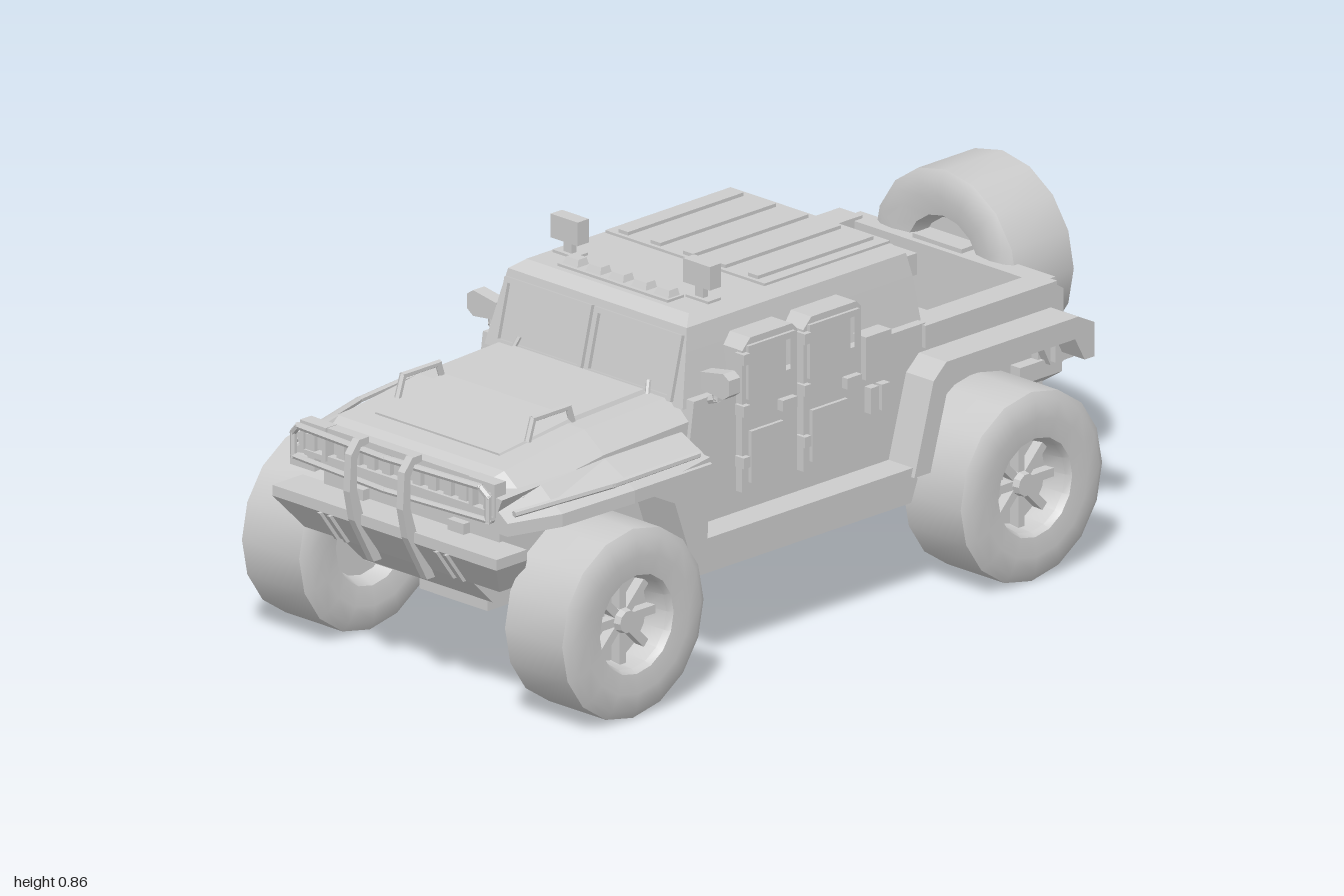
import * as THREE from 'three';
import { toCreasedNormals } from 'three/addons/utils/BufferGeometryUtils.js';

export function createModel() {
  const root = new THREE.Group();
  const flat = new THREE.MeshStandardMaterial({ color: 0xcccccc, flatShading: true });
  const smooth = new THREE.MeshStandardMaterial({ color: 0xcccccc });

  const add = (name, geo, parent = root, mat = flat) => {
    const m = new THREE.Mesh(geo, mat);
    m.name = name;
    parent.add(m);
    return m;
  };
  // Box from its limits
  const box = (name, x0, x1, y0, y1, z0, z1) => {
    const m = add(name, new THREE.BoxGeometry(Math.abs(x1 - x0), y1 - y0, Math.abs(z1 - z0)));
    m.position.set((x0 + x1) / 2, (y0 + y1) / 2, (z0 + z1) / 2);
    return m;
  };
  const boxes = (name, x0, x1, ...r) => [1, -1].forEach((s) => box(name, s * x0, s * x1, ...r));
  // Side outline of [z, y] points extruded from x0 to x1, with an optional hole
  const slab = (name, pts, x0, x1, hole) => {
    const v = (a) => a.map((p) => new THREE.Vector2(...p));
    const shape = new THREE.Shape(v(pts));
    if (hole) shape.holes.push(new THREE.Path(v(hole)));
    const g = new THREE.ExtrudeGeometry(shape, { depth: Math.abs(x1 - x0), bevelEnabled: false });
    g.rotateY(-Math.PI / 2).translate(Math.max(x0, x1), 0, 0);
    return add(name, g);
  };
  const slabs = (name, pts, x0, x1, hole) => [1, -1].forEach((s) => slab(name, pts, s * x0, s * x1, hole));
  const rect = (z0, z1, y0, y1) => [[z0, y0], [z1, y0], [z1, y1], [z0, y1]];
  // Solid through equal rings of [x, y, z], capped, turned outward by its signed volume
  const loft = (name, rings) => {
    const P = rings.map((r) => r.map((p) => new THREE.Vector3(...p)));
    const n = P[0].length, last = P.length - 1, tris = [];
    for (let i = 0; i < last; i++) for (let j = 0; j < n; j++) {
      const k = (j + 1) % n;
      tris.push([P[i][j], P[i][k], P[i + 1][k]], [P[i][j], P[i + 1][k], P[i + 1][j]]);
    }
    for (let j = 1; j < n - 1; j++) tris.push([P[0][0], P[0][j + 1], P[0][j]], [P[last][0], P[last][j], P[last][j + 1]]);
    const o = P[0][0];
    const vol = tris.reduce((s, [a, b, c]) => s + a.clone().sub(o).dot(b.clone().sub(o).cross(c.clone().sub(o))), 0);
    if (vol < 0) tris.forEach((t) => t.reverse());
    const g = new THREE.BufferGeometry().setFromPoints(tris.flat());
    g.computeVertexNormals();
    return add(name, g);
  };
  // Stack of level rectangles: [y, half width, back z, front z]
  const stack = (name, rows) => loft(name, rows.map(([y, w, b, f]) => [[-w, y, b], [w, y, b], [w, y, f], [-w, y, f]]));
  // Round bars along a list of points
  const bars = (name, pts, r) => {
    for (let i = 1; i < pts.length; i++) {
      const a = new THREE.Vector3(...pts[i - 1]), d = new THREE.Vector3(...pts[i]).sub(a);
      const m = add(name, new THREE.CylinderGeometry(r, r, d.length() + r, 6));
      m.position.copy(a).addScaledVector(d, 0.5);
      m.quaternion.setFromUnitVectors(new THREE.Vector3(0, 1, 0), d.normalize());
    }
  };

  // Wheels: lathed tyre with a recessed, spoked rim facing local +x
  const tyre = [[0, -0.06], [0.1, -0.06], [0.115, -0.097], [0.16, -0.105], [0.2, -0.1], [0.22, -0.088], [0.22, 0.088],
    [0.2, 0.1], [0.16, 0.105], [0.115, 0.1], [0.107, 0.085], [0.1, 0.03], [0, 0.03]].map((p) => new THREE.Vector2(...p));
  const tyreGeo = toCreasedNormals(new THREE.LatheGeometry(tyre, 16).rotateZ(-Math.PI / 2), 0.5);
  const wheel = (name, x, y, z, turn) => {
    const g = new THREE.Group();
    g.name = name;
    add('tyre', tyreGeo, g, smooth);
    add('hub', new THREE.CylinderGeometry(0.026, 0.034, 0.05, 10).rotateZ(-Math.PI / 2).translate(0.05, 0, 0), g);
    for (let i = 0; i < 8; i++) {
      const s = add('spoke', new THREE.BoxGeometry(0.025, 0.08, 0.02).translate(0.045, 0.062, 0), g);
      s.rotation.x = (i * Math.PI) / 4;
    }
    g.position.set(x, y, z);
    g.rotation.y = turn;
    root.add(g);
  };
  for (const s of [1, -1]) {
    wheel('frontWheel', s * 0.405, 0.22, 0.69, s > 0 ? 0 : Math.PI);
    wheel('rearWheel', s * 0.405, 0.22, -0.55, s > 0 ? 0 : Math.PI);
  }
  wheel('spareWheel', -0.025, 0.54, -0.895, Math.PI / 2);

  // Chassis, rails, axles and links
  slab('chassis', [[0.88, 0.47], [0.88, 0.36], [0.8, 0.28], [-0.7, 0.28], [-0.8, 0.35], [-0.8, 0.42]], -0.27, 0.27);
  boxes('frameRail', 0.14, 0.18, 0.24, 0.29, -0.74, 0.82);
  for (const z of [0.69, -0.55]) {
    bars('axle', [[-0.35, 0.22, z], [0.35, 0.22, z]], 0.025);
    box('differential', -0.105, 0.105, 0.165, 0.28, z - 0.06, z + 0.06);
    boxes('suspensionArm', 0.2, 0.3, 0.175, 0.27, z - 0.035, z + 0.035);
    for (const s of [1, -1]) bars('link', [[s * 0.16, 0.195, z - 0.21 * Math.sign(z)], [s * 0.16, 0.235, 0]], 0.015);
  }

  // Cabin: lower tub, sills and tapered upper shell
  slab('cabinTub', [[0.4, 0.28], [0.35, 0.46], [0.33, 0.6], [-0.39, 0.6], [-0.36, 0.5], [-0.29, 0.28]], -0.325, 0.325);
  slabs('sill', [[0.41, 0.28], [0.39, 0.23], [-0.27, 0.23], [-0.29, 0.28], [-0.28, 0.31], [0.4, 0.31]], 0.28, 0.4);
  stack('cabinShell', [[0.58, 0.305, -0.4, 0.345], [0.7, 0.285, -0.39, 0.315], [0.752, 0.275, -0.38, 0.302], [0.772, 0.25, -0.36, 0.27]]);
  box('roofPanel', -0.245, 0.245, 0.765, 0.778, -0.36, 0.03);
  for (const x of [-0.2, -0.1, 0, 0.1, 0.2]) box('roofRib', x - 0.015, x + 0.015, 0.775, 0.786, -0.34, 0.02);

  // Windscreen frames and panes
  const frame = (name, w, h, t, b) => {
    const r = (k, hw, hh) => { k.moveTo(-hw, -hh); k.lineTo(hw, -hh); k.lineTo(hw, hh); k.lineTo(-hw, hh); k.closePath(); return k; };
    const s = r(new THREE.Shape(), w / 2, h / 2);
    s.holes.push(r(new THREE.Path(), w / 2 - b, h / 2 - b));
    return add(name, new THREE.ExtrudeGeometry(s, { depth: t, bevelEnabled: false }));
  };
  for (const s of [1, -1]) {
    const f = frame('windscreenFrame', 0.268, 0.15, 0.012, 0.012);
    f.position.set(s * 0.139, 0.662, 0.322);
    f.rotation.x = -0.245;
    bars('wiper', [[s * 0.21, 0.585, 0.36], [s * 0.2, 0.62, 0.345]], 0.006);
  }
  const rearFrame = frame('rearWindowFrame', 0.36, 0.14, 0.015, 0.02);
  rearFrame.position.set(0, 0.66, -0.388);
  rearFrame.rotation.y = Math.PI;
  box('rearWindow', -0.13, 0.13, 0.62, 0.7, -0.4, -0.38);
  boxes('cargoLamp', 0.2, 0.27, 0.69, 0.74, -0.42, -0.36);

  // Doors with recessed glass, handles, hinges and side vents
  for (const [a, b] of [[0.2, 0.03], [0.01, -0.17]]) {
    const out = [[a, 0.36], [b, 0.36], [b, 0.7], [b + 0.015, 0.715], [a - 0.025, 0.715], [a, 0.69]];
    slabs('door', out, 0.28, 0.345, rect(a - 0.02, b + 0.02, 0.585, 0.69));
    boxes('doorGlass', 0.28, 0.327, 0.58, 0.695, b + 0.015, a - 0.015);
    slabs('doorTrim', rect(a - 0.012, b + 0.012, 0.575, 0.7), 0.34, 0.353, rect(a - 0.025, b + 0.025, 0.59, 0.685));
    boxes('doorPanel', 0.34, 0.354, 0.38, 0.5, b + 0.05, a - 0.02);
    boxes('doorHandle', 0.34, 0.362, 0.525, 0.55, b + 0.015, b + 0.06);
    for (const y of [0.42, 0.54, 0.66]) boxes('hinge', 0.33, 0.358, y, y + 0.025, a - 0.012, a + 0.008);
  }
  for (const z of [-0.2, -0.235]) boxes('sideVent', 0.31, 0.345, 0.44, 0.5, z - 0.025, z);
  boxes('sideLocker', 0.28, 0.34, 0.52, 0.62, -0.27, -0.19);

  // Hood and its handles
  const hoodRing = ([z, w, t]) => [[-w, 0.44, z], [w, 0.44, z], [w, t - 0.045, z], [w - 0.06, t, z], [0.06 - w, t, z], [-w, t - 0.045, z]];
  loft('hood', [[0.33, 0.315, 0.598], [0.6, 0.315, 0.588], [0.85, 0.315, 0.555], [0.9, 0.3, 0.535]].map(hoodRing));
  loft('hoodBulge', [[0.36, 0.2, 0.606], [0.58, 0.2, 0.598], [0.8, 0.19, 0.566]].map(([z, w, t]) =>
    [[-w - 0.03, t - 0.06, z], [w + 0.03, t - 0.06, z], [w, t, z], [-w, t, z]]));
  for (const s of [1, -1]) bars('hoodHandle', [[s * 0.2, 0.58, 0.72], [s * 0.2, 0.625, 0.705], [s * 0.2, 0.625, 0.595], [s * 0.2, 0.58, 0.58]], 0.008);

  // Front fenders: sloping tops, then a band down to the sill
  for (const s of [1, -1]) {
    loft('frontFender', [[0.36, 0.41, 0], [0.6, 0.41, 0], [0.8, 0.385, -0.01], [0.92, 0.335, -0.015]].map(([z, w, d]) =>
      [[0.26, 0.54], [0.318, 0.535], [w - 0.03, 0.505], [w, 0.485], [w, 0.455], [0.26, 0.455]].map(([x, y]) => [s * x, y + d, z])));
    bars('fenderLine', [[s * 0.405, 0.515, 0.4], [s * 0.39, 0.505, 0.65], [s * 0.34, 0.49, 0.9]], 0.008);
  }
  slabs('frontArch', [[0.58, 0.47], [0.36, 0.5], [0.37, 0.28], [0.42, 0.28], [0.47, 0.42], [0.54, 0.455]], 0.28, 0.405);

  // Cargo bed with tailgate and rear arches
  box('bedFloor', -0.28, 0.28, 0.38, 0.44, -0.8, -0.36);
  slabs('bedWall', [[-0.36, 0.48], [-0.36, 0.595], [-0.78, 0.595], [-0.82, 0.57], [-0.82, 0.4], [-0.78, 0.4], [-0.74, 0.48]], 0.275, 0.325);
  boxes('bedRail', 0.265, 0.335, 0.545, 0.597, -0.79, -0.38);
  boxes('wheelWell', 0.25, 0.28, 0.28, 0.56, -0.8, -0.33);
  box('tailgate', -0.3, 0.3, 0.37, 0.59, -0.82, -0.765);
  slabs('rearFlare', [[-0.27, 0.29], [-0.33, 0.5], [-0.37, 0.535], [-0.78, 0.535], [-0.83, 0.51], [-0.83, 0.43], [-0.8, 0.43],
    [-0.77, 0.485], [-0.41, 0.485], [-0.37, 0.46], [-0.32, 0.29]], 0.27, 0.41);
  boxes('rearLamp', 0.25, 0.34, 0.41, 0.48, -0.835, -0.78);
  stack('rearBumper', [[0.32, 0.24, -0.79, -0.7], [0.37, 0.31, -0.83, -0.7], [0.41, 0.31, -0.83, -0.7]]);
  box('spareCarrier', -0.1, 0.05, 0.46, 0.6, -0.85, -0.78);

  // Grille with headlights
  for (let i = 0; i < 9; i++) box('grilleBar', -0.2 + i * 0.047, -0.176 + i * 0.047, 0.485, 0.54, 0.89, 0.912);
  for (const y of [0.472, 0.538]) box('grilleFrame', -0.3, 0.3, y, y + 0.014, 0.89, 0.92);
  for (const s of [1, -1]) {
    const f = frame('headlightFrame', 0.08, 0.078, 0.035, 0.012);
    f.position.set(s * 0.26, 0.514, 0.89);
    box('headlight', s * 0.235, s * 0.285, 0.49, 0.54, 0.88, 0.91);
  }
  boxes('indicator', 0.13, 0.18, 0.4, 0.425, 0.87, 0.9);

  // Bumper, skid plate and brush guard
  stack('bumper', [[0.3, 0.3, 0.84, 0.91], [0.375, 0.345, 0.87, 0.965], [0.4, 0.345, 0.87, 0.965]]);
  stack('skidPlate', [[0.23, 0.2, 0.76, 0.83], [0.31, 0.2, 0.76, 0.91]]);
  const guard = [[0.9, 0.28], [0.925, 0.28], [0.985, 0.39], [1, 0.46], [0.995, 0.545], [0.97, 0.575], [0.94, 0.575],
    [0.94, 0.56], [0.965, 0.555], [0.977, 0.53], [0.977, 0.46], [0.955, 0.39]];
  slabs('guardUpright', guard, 0.072, 0.092);
  for (const s of [1, -1]) {
    bars('guardRail', [[0, 0.55, 0.965], [s * 0.28, 0.55, 0.95], [s * 0.3, 0.53, 0.945], [s * 0.3, 0.475, 0.945], [s * 0.28, 0.465, 0.9]], 0.008);
    bars('guardRail', [[0, 0.475, 0.965], [s * 0.3, 0.475, 0.945]], 0.007);
  }
  for (const x of [0.16, 0.19]) slabs('towLug', [[0.89, 0.3], [0.92, 0.3], [0.975, 0.375], [0.94, 0.375]], x, x + 0.008);

  // Roof lamps, spotlights and mirrors
  for (const x of [-0.14, -0.07, 0, 0.07, 0.14]) stack('markerLamp', [[0.77, 0.026, 0.21, 0.25], [0.793, 0.018, 0.212, 0.238]]).position.x = x;
  box('lampStrip', -0.17, 0.17, 0.766, 0.778, 0.205, 0.255);
  boxes('spotlight', 0.162, 0.245, 0.805, 0.86, 0.165, 0.2);
  boxes('spotlightPost', 0.19, 0.215, 0.77, 0.81, 0.175, 0.19);
  boxes('spotlightBase', 0.17, 0.24, 0.765, 0.778, 0.16, 0.2);
  for (const s of [1, -1]) {
    bars('mirrorArm', [[s * 0.29, 0.58, 0.28], [s * 0.345, 0.6, 0.28], [s * 0.345, 0.64, 0.28]], 0.01);
    loft('mirror', [0.265, 0.3].map((z) => [[0.315, 0.62], [0.385, 0.612], [0.403, 0.625], [0.403, 0.66], [0.385, 0.672], [0.315, 0.66]]
      .map(([x, y]) => [s * x, y, z])));
  }
  return root;
}
